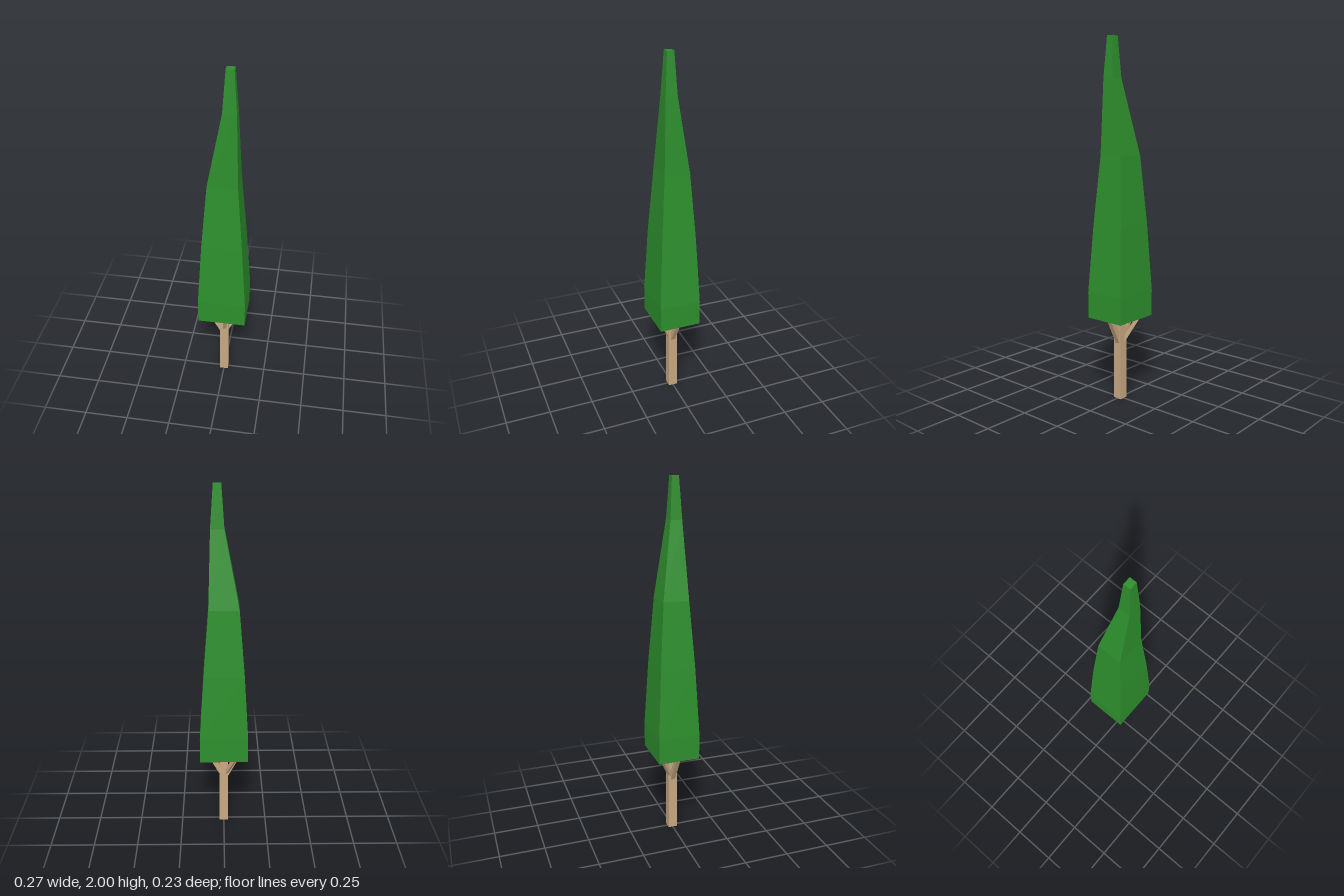
import * as THREE from 'three';

// Loft of rectangular sections [y, xMin, xMax, zMin, zMax], closed at both ends
function loftRects(sections) {
  const rings = sections.map(([y, x0, x1, z0, z1]) =>
    [[x0, y, z1], [x1, y, z1], [x1, y, z0], [x0, y, z0]]);
  const pos = [];
  const quad = (a, b, c, d) => pos.push(...a, ...b, ...c, ...a, ...c, ...d);
  for (let i = 0; i < rings.length - 1; i++) {
    for (let k = 0; k < 4; k++) {
      const n = (k + 1) % 4;
      quad(rings[i][k], rings[i][n], rings[i + 1][n], rings[i + 1][k]);
    }
  }
  const [a, b, c, d] = rings[0];
  quad(d, c, b, a);
  quad(...rings[rings.length - 1]);
  const geo = new THREE.BufferGeometry();
  geo.setAttribute('position', new THREE.Float32BufferAttribute(pos, 3));
  geo.computeVertexNormals();
  return geo;
}

export function createModel() {
  const tree = new THREE.Group();
  tree.name = 'cypressTree';
  const leaf = new THREE.MeshStandardMaterial({ color: 0x2d8f2d, flatShading: true });
  const bark = new THREE.MeshStandardMaterial({ color: 0xc8a882, flatShading: true });

  // Tapering crown whose tip leans to one side
  const crown = new THREE.Mesh(loftRects([
    [0.475, -0.135, 0.135, -0.117, 0.117],
    [0.62, -0.135, 0.135, -0.117, 0.117],
    [1.0, -0.112, 0.11, -0.098, 0.097],
    [1.37, -0.082, 0.081, -0.072, 0.07],
    [1.78, -0.003, 0.069, -0.006, 0.058],
    [2.0, 0.012, 0.054, 0.007, 0.045],
  ]), leaf);
  crown.name = 'crown';
  tree.add(crown);

  // Square trunk
  const trunk = new THREE.Mesh(new THREE.BoxGeometry(0.05, 0.5, 0.05), bark);
  trunk.name = 'trunk';
  trunk.position.y = 0.25;
  tree.add(trunk);

  // Four square branches spreading up into the crown: [name, foot, tip, thickness]
  const branches = [
    ['leftBranch', [0.01, 0.325, 0], [0.094, 0.485, -0.005], 0.026],
    ['rightBranch', [-0.01, 0.31, 0], [-0.1, 0.485, 0.005], 0.026],
    ['frontBranch', [0, 0.33, 0.01], [0.022, 0.485, 0.083], 0.018],
    ['backBranch', [-0.01, 0.33, -0.01], [-0.07, 0.485, -0.083], 0.02],
  ];
  for (const [name, foot, tip, size] of branches) {
    const a = new THREE.Vector3(...foot);
    const b = new THREE.Vector3(...tip);
    const branch = new THREE.Mesh(new THREE.BoxGeometry(size, size, a.distanceTo(b)), bark);
    branch.name = name;
    branch.position.copy(a).lerp(b, 0.5);
    branch.lookAt(b);
    tree.add(branch);
  }
  return tree;
}
